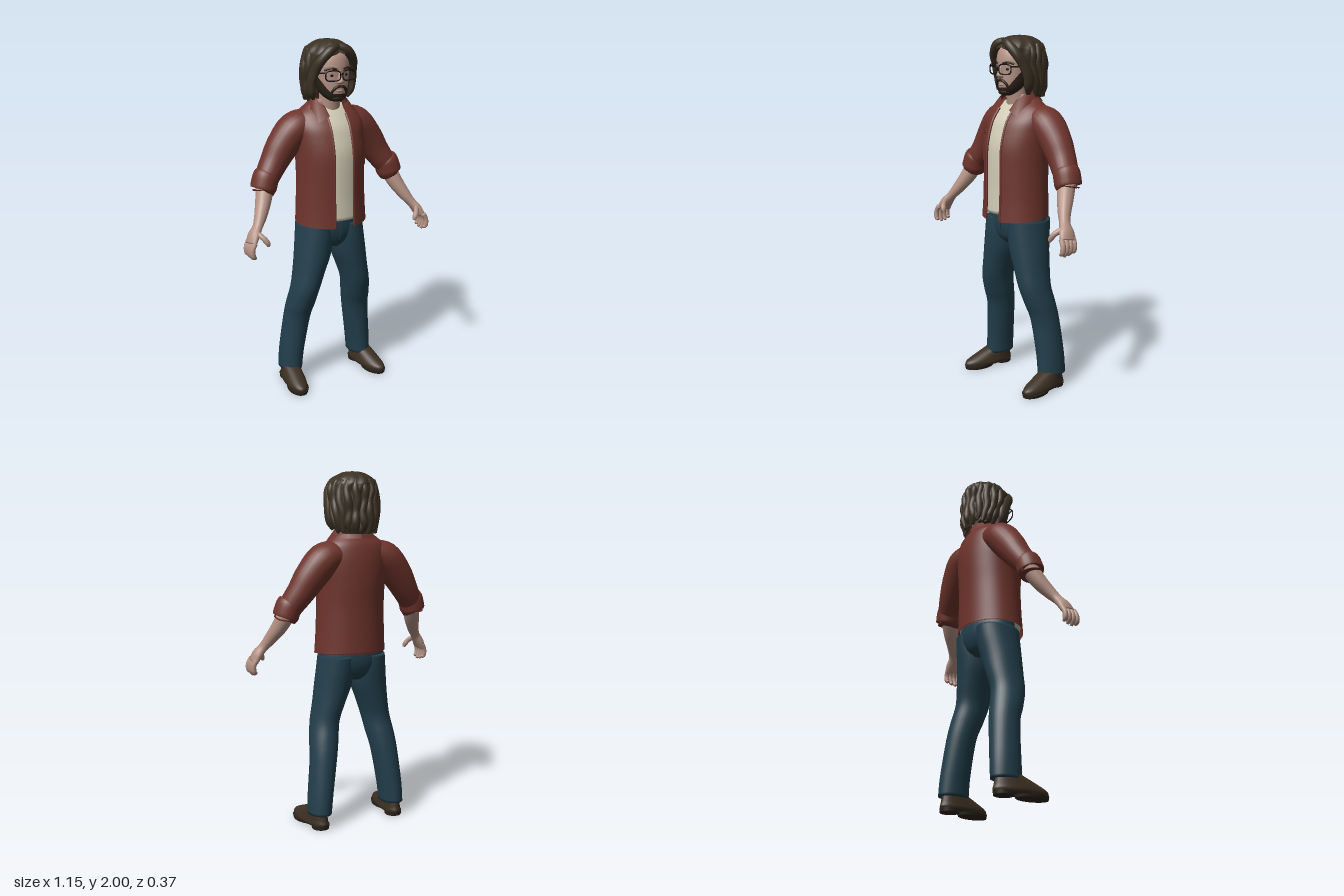
import * as THREE from 'three';

const V = (x, y, z) => new THREE.Vector3(x, y, z);
const mat = (name, color, side = THREE.FrontSide) => {
  const m = new THREE.MeshStandardMaterial({ color, side });
  m.name = name;
  return m;
};

// Catmull-Rom refinement of rows of numbers
function smooth(rows, n = 5) {
  const out = [], last = rows.length - 1;
  for (let i = 0; i < last; i++) {
    const [a, b, c, d] = [rows[Math.max(i - 1, 0)], rows[i], rows[i + 1], rows[Math.min(i + 2, last)]];
    for (let k = 0; k < n; k++) {
      const t = k / n;
      out.push(b.map((p, j) => p + 0.5 * t * (c[j] - a[j] + t * (2 * a[j] - 5 * p + 4 * c[j] - d[j]
        + t * (3 * (p - c[j]) + d[j] - a[j])))));
    }
  }
  out.push(rows[last]);
  return out;
}

// Surface through rings of points, optionally wrapped and capped
function skin(name, rings, material, closed = true, caps = closed) {
  const n = rings[0].length, m = rings.length, pts = rings.flat(), idx = [];
  for (let i = 0; i < m - 1; i++) {
    for (let j = 0; j < (closed ? n : n - 1); j++) {
      const k = (j + 1) % n, a = i * n + j, b = i * n + k;
      idx.push(a, b, b + n, a, b + n, a + n);
    }
  }
  if (caps) {
    [0, m - 1].forEach((r) => {
      const c = pts.length, mid = V(0, 0, 0);
      rings[r].forEach((p) => mid.addScaledVector(p, 1 / n));
      pts.push(mid);
      for (let j = 0; j < n; j++) {
        const a = r * n + j, b = r * n + (j + 1) % n;
        if (r === 0) idx.push(c, b, a); else idx.push(c, a, b);
      }
    });
  }
  const g = new THREE.BufferGeometry().setFromPoints(pts);
  g.setIndex(idx);
  g.computeVertexNormals();
  const mesh = new THREE.Mesh(g, material);
  mesh.name = name;
  return mesh;
}

// Horizontal sections: row = [y, cx, cz, rx, rz]; angle 0 faces the front
const point = ([y, cx, cz, rx, rz], a, off = 0) =>
  V(cx + (rx + off) * Math.sin(a), y, cz + (rz + off) * Math.cos(a));

function body(name, rows, material, n = 32) {
  return skin(name, smooth(rows).map((r) =>
    Array.from({ length: n }, (_, j) => point(r, j / n * Math.PI * 2))), material);
}

// Section of a body at a height
function sectionAt(rows, y) {
  const s = smooth(rows);
  let i = 0;
  while (i < s.length - 2 && s[i + 1][0] < y) i++;
  const t = THREE.MathUtils.clamp((y - s[i][0]) / (s[i + 1][0] - s[i][0]), 0, 1);
  return s[i].map((p, j) => p + (s[i + 1][j] - p) * t);
}

// Thin patch lying on a body
function patch(name, rows, material, a0, a1, y0, top, off, n = 24, m = 8) {
  const rings = [];
  for (let i = 0; i <= m; i++) {
    rings.push(Array.from({ length: n + 1 }, (_, j) => {
      const a = a0 + (a1 - a0) * j / n;
      return point(sectionAt(rows, y0 + (top(a) - y0) * i / m), a, off);
    }));
  }
  return skin(name, rings, material, false);
}

// Limb swept along a path: row = [x, y, z, half width, half depth]
function limb(name, rows, material, s = 1, n = 16) {
  const rs = smooth(rows.map(([x, ...r]) => [x * s, ...r]));
  const c = rs.map((r) => V(r[0], r[1], r[2]));
  return skin(name, rs.map((r, i) => {
    const t = c[Math.min(i + 1, c.length - 1)].clone().sub(c[Math.max(i - 1, 0)]).normalize();
    const v = V(0, 0, 1).addScaledVector(t, -t.z).normalize();
    const u = t.clone().cross(v);
    return Array.from({ length: n }, (_, j) => {
      const a = j / n * Math.PI * 2;
      return c[i].clone().addScaledVector(u, r[3] * Math.sin(a)).addScaledVector(v, r[4] * Math.cos(a));
    });
  }), material);
}

function wire(name, pts, r, material, closed = false) {
  const curve = new THREE.CatmullRomCurve3(pts, closed);
  const mesh = new THREE.Mesh(new THREE.TubeGeometry(curve, 32, r, 6, closed), material);
  mesh.name = name;
  return mesh;
}

function blob(name, p, r, material) {
  const mesh = new THREE.Mesh(new THREE.SphereGeometry(1, 20, 14), material);
  mesh.name = name;
  mesh.position.set(...p);
  mesh.scale.set(...r);
  return mesh;
}

export function createModel() {
  const model = new THREE.Group();
  model.name = 'man';
  const add = (...parts) => model.add(...parts);
  const D = THREE.DoubleSide;
  const skinTone = mat('skin', 0xb39183), red = mat('shirt red', 0x6e342c, D);
  const cream = mat('cream', 0xd2ccb6), denim = mat('denim', 0x223f4c);
  const brown = mat('hair brown', 0x3b3123, D), dark = mat('beard brown', 0x2b2119, D);
  const leather = mat('shoe leather', 0x3d3023), sole = mat('sole', 0x2a231c), black = mat('black', 0x16130f);

  // Open shirt over a cream undershirt
  const shirt = [[0.98, 0, 0, 0.21, 0.174], [1.1, 0, -0.003, 0.203, 0.17], [1.25, 0, -0.005, 0.198, 0.17],
    [1.38, 0, -0.01, 0.2, 0.172], [1.47, 0, -0.02, 0.205, 0.162], [1.54, 0, -0.03, 0.205, 0.145],
    [1.6, 0, -0.045, 0.183, 0.115], [1.64, 0, -0.05, 0.135, 0.085], [1.68, 0, -0.045, 0.085, 0.07]];
  const gap = (r) => Math.asin(Math.min(1, 0.06 / r[3]));
  const n = 48;
  add(skin('shirt', smooth(shirt).map((r, i) => Array.from({ length: n + 1 }, (_, j) => {
    const a = gap(r) + (2 * Math.PI - 2 * gap(r)) * j / n, p = point(r, a);
    if (i === 0) p.y += 0.014 * (1 - Math.cos(a));
    return p;
  })), red, false));
  const tee = [1.02, 1.15, 1.3, 1.4, 1.48, 1.54, 1.6, 1.635].map((y) => {
    const [, x, z, rx, rz] = sectionAt(shirt, y);
    return [y, x, z, rx - 0.012, rz - 0.009];
  });
  add(body('undershirt', tee, cream));

  // Jeans seat
  add(body('jeansSeat', [[0.84, 0, -0.015, 0.05, 0.08], [0.88, 0, -0.017, 0.14, 0.115],
    [0.95, 0, -0.02, 0.193, 0.134], [1.04, 0, -0.02, 0.185, 0.13]], denim));
  add(wire('fly', [V(0.004, 1.02, 0.111), V(0.004, 0.95, 0.115), V(0, 0.89, 0.1)], 0.004, denim));

  const finger = (name, pts, r, s) => limb(name,
    pts.map((p, i) => [...p, r * (i === pts.length - 1 ? 0.55 : 1), r * (i === pts.length - 1 ? 0.55 : 1)]), skinTone, s, 10);

  for (const s of [1, -1]) {
    const side = s > 0 ? 'left' : 'right';

    // Shirt front edge, collar flap and pocket
    add(wire(side + 'Placket', [0.985, 1.1, 1.25, 1.38, 1.47, 1.54, 1.6].map((y) => {
      const r = sectionAt(shirt, y);
      return point(r, s * gap(r));
    }), 0.007, red));
    const row = (...pts) => pts.map(([x, y, z]) => V(s * x, y, z));
    add(skin(side + 'Collar', [
      row([0.055, 1.595, 0.092], [0.125, 1.568, 0.1], [0.128, 1.625, 0.025], [0.125, 1.64, -0.06], [0.08, 1.635, -0.135], [0, 1.635, -0.15]),
      row([0.062, 1.65, 0.045], [0.085, 1.66, 0.04], [0.092, 1.685, 0], [0.088, 1.7, -0.05], [0.055, 1.7, -0.1], [0, 1.7, -0.115]),
    ], red, false));
    add(patch(side + 'Pocket', shirt, red, s * 0.5, s * 1.1, 1.31, () => 1.455, 0.006, 10, 5));

    // Sleeve with rolled cuff
    add(limb(side + 'Sleeve', [[0.1, 1.55, -0.055, 0.075, 0.085], [0.19, 1.52, -0.06, 0.093, 0.1],
      [0.27, 1.43, -0.058, 0.09, 0.088], [0.325, 1.35, -0.05, 0.078, 0.078], [0.37, 1.285, -0.035, 0.069, 0.073],
      [0.39, 1.25, -0.028, 0.064, 0.068]], red, s, 24));
    add(limb(side + 'Cuff', [[0.378, 1.295, -0.03, 0.064, 0.068], [0.386, 1.28, -0.028, 0.071, 0.075],
      [0.398, 1.245, -0.025, 0.072, 0.077], [0.407, 1.214, -0.022, 0.07, 0.075], [0.408, 1.212, -0.022, 0.055, 0.06]], red, s, 24));

    // Forearm and hand
    add(limb(side + 'Forearm', [[0.39, 1.25, -0.028, 0.05, 0.052], [0.425, 1.16, 0.015, 0.044, 0.047],
      [0.465, 1.085, 0.06, 0.034, 0.036], [0.495, 1.04, 0.085, 0.026, 0.032], [0.525, 1, 0.1, 0.027, 0.046],
      [0.545, 0.96, 0.11, 0.021, 0.05]], skinTone, s));
    [0.152, 0.125, 0.098, 0.072].forEach((z, i) => add(finger(side + 'Finger' + (i + 1),
      [[0.54, 0.975, z], [0.558, 0.94, z + 0.004], [0.556, 0.905, z + 0.006],
        [0.54, 0.88 + [0.012, 0, 0.003, 0.015][i], z + 0.006]], 0.0145, s)));
    add(finger(side + 'Thumb', [[0.515, 1.02, 0.115], [0.492, 0.995, 0.15], [0.475, 0.97, 0.163], [0.468, 0.95, 0.165]], 0.015, s));

    // Trouser leg
    add(body(side + 'Leg', [[0.085, 0.235, -0.075, 0.066, 0.09], [0.2, 0.225, -0.072, 0.07, 0.088],
      [0.4, 0.198, -0.055, 0.077, 0.086], [0.5, 0.183, -0.03, 0.082, 0.094], [0.6, 0.165, -0.005, 0.082, 0.1],
      [0.7, 0.14, -0.005, 0.09, 0.11], [0.8, 0.115, -0.008, 0.103, 0.12], [0.9, 0.1, -0.015, 0.105, 0.13],
      [0.98, 0.095, -0.02, 0.1, 0.134]].map(([y, x, ...r]) => [y, x * s, ...r]), denim));

    // Shoe
    const shoe = new THREE.Group();
    shoe.name = side + 'Shoe';
    shoe.add(body('upper', [[0.016, 0, 0, 0.056, 0.155], [0.03, 0, 0, 0.061, 0.162], [0.05, 0, -0.004, 0.059, 0.152],
      [0.08, 0, -0.035, 0.053, 0.115], [0.11, 0, -0.07, 0.047, 0.075]], leather));
    shoe.add(body('foreSole', [[0, 0, 0.065, 0.055, 0.093], [0.02, 0, 0.065, 0.06, 0.097]], sole));
    shoe.add(body('heel', [[0, 0, -0.102, 0.048, 0.053], [0.025, 0, -0.102, 0.05, 0.056]], sole));
    shoe.position.set(s * 0.252, 0, 0.004);
    shoe.rotation.y = s * 0.12;
    add(shoe);

    // Eye, brow and spectacle rim
    add(blob(side + 'Eye', [s * 0.042, 1.815, 0.091], [0.013, 0.007, 0.006], black));
    add(wire(side + 'Brow', [V(s * 0.018, 1.845, 0.106), V(s * 0.05, 1.853, 0.096), V(s * 0.078, 1.842, 0.072)], 0.006, dark));
    add(wire(side + 'Rim', Array.from({ length: 16 }, (_, i) => {
      const a = i / 16 * Math.PI * 2, p = (t) => Math.sign(t) * Math.abs(t) ** 0.6;
      const x = 0.048 + 0.041 * p(Math.cos(a));
      return V(s * x, 1.815 + 0.027 * p(Math.sin(a)), 0.124 - x * 0.2);
    }), 0.0038, black, true));
    add(wire(side + 'Temple', [V(s * 0.089, 1.83, 0.106), V(s * 0.104, 1.828, 0.05), V(s * 0.108, 1.82, -0.03)], 0.004, black));

    // Moustache half and front hair lock
    add(limb(side + 'Moustache', [[0, 1.757, 0.109, 0.007, 0.007], [0.024, 1.752, 0.106, 0.008, 0.008],
      [0.042, 1.73, 0.095, 0.007, 0.008], [0.045, 1.705, 0.087, 0.006, 0.008]], dark, s, 10));
    add(limb(side + 'FrontLock', [[0.005, 1.965, 0.075, 0.02, 0.02], [0.05, 1.945, 0.088, 0.026, 0.026],
      [0.094, 1.895, 0.068, 0.026, 0.03], [0.113, 1.84, 0.035, 0.024, 0.034], [0.126, 1.775, 0.012, 0.02, 0.034],
      [0.12, 1.72, 0.005, 0.019, 0.03], [0.105, 1.68, -0.005, 0.008, 0.012]], brown, s));
  }
  add(wire('bridge', [V(-0.008, 1.82, 0.122), V(0, 1.825, 0.125), V(0.008, 1.82, 0.122)], 0.004, black));

  // Neck, head and nose
  add(body('neck', [[1.58, 0, -0.022, 0.068, 0.062], [1.64, 0, -0.015, 0.06, 0.06], [1.75, 0, 0, 0.058, 0.06]], skinTone));
  const head = [[1.676, 0, 0.06, 0.03, 0.028], [1.7, 0, 0.04, 0.06, 0.058], [1.74, 0, 0.016, 0.083, 0.086],
    [1.8, 0, 0.002, 0.097, 0.1], [1.86, 0, -0.003, 0.102, 0.108], [1.92, 0, -0.012, 0.095, 0.1], [1.96, 0, -0.02, 0.05, 0.06]];
  add(body('head', head, skinTone));
  add(body('nose', [[1.766, 0, 0.1, 0.01, 0.012], [1.775, 0, 0.104, 0.02, 0.022], [1.787, 0, 0.106, 0.016, 0.024],
    [1.815, 0, 0.1, 0.01, 0.017], [1.845, 0, 0.095, 0.009, 0.01]], skinTone, 16));
  add(blob('lips', [0, 1.731, 0.1], [0.021, 0.007, 0.007], skinTone));

  // Beard, rising along the jaw to the sideburns
  add(patch('beard', head, dark, -1.75, 1.75, 1.676,
    (a) => 1.716 + 0.1 * THREE.MathUtils.smoothstep(Math.abs(a), 0.45, 1.45), 0.007, 36));
  add(blob('chinBeard', [0, 1.692, 0.062], [0.05, 0.022, 0.044], dark));

  // Hair shell: the last number is the half angle left open for the face
  const hair = [[1.66, 0, -0.11, 0.085, 0.055, 1.2], [1.7, 0, -0.075, 0.118, 0.098, 1.3], [1.78, 0, -0.06, 0.128, 0.112, 1.2],
    [1.86, 0, -0.045, 0.134, 0.125, 0.9], [1.91, 0, -0.036, 0.132, 0.138, 0.45], [1.935, 0, -0.035, 0.125, 0.138, 0],
    [1.965, 0, -0.035, 0.1, 0.112, 0], [1.99, 0, -0.03, 0.055, 0.065, 0], [1.997, 0, -0.03, 0.004, 0.004, 0]];
  add(skin('hair', smooth(hair, 6).map((r) => Array.from({ length: 73 }, (_, j) => {
    const open = Math.max(0, r[5]), a = open + (2 * Math.PI - 2 * open) * j / 72;
    const wave = 0.004 * Math.sin(11 * a + 2 * Math.sin(r[0] * 28)) * Math.min(1, r[3] / 0.1);
    return point(r, a, wave);
  })), brown, false));

  // Wavy locks around the sides and back
  for (let i = 0; i < 11; i++) {
    const a = 1.35 + i * (2 * Math.PI - 2.7) / 10;
    const end = 1.662 + 0.014 * (i % 2);
    const rows = [1.95, 1.9, 1.84, 1.78, 1.72, end].map((y, k) => {
      const p = point(sectionAt(hair, Math.max(y, 1.69)), a + 0.07 * Math.sin(k * 1.9 + i), -0.008 + 0.005 * Math.sin(k * 2.4 + i));
      const r = [0.012, 0.02, 0.024, 0.024, 0.024, 0.009][k];
      return [p.x, y, p.z, r, r];
    });
    add(limb('hairLock' + (i + 1), rows, brown, 1, 10));
  }
  return model;
}
